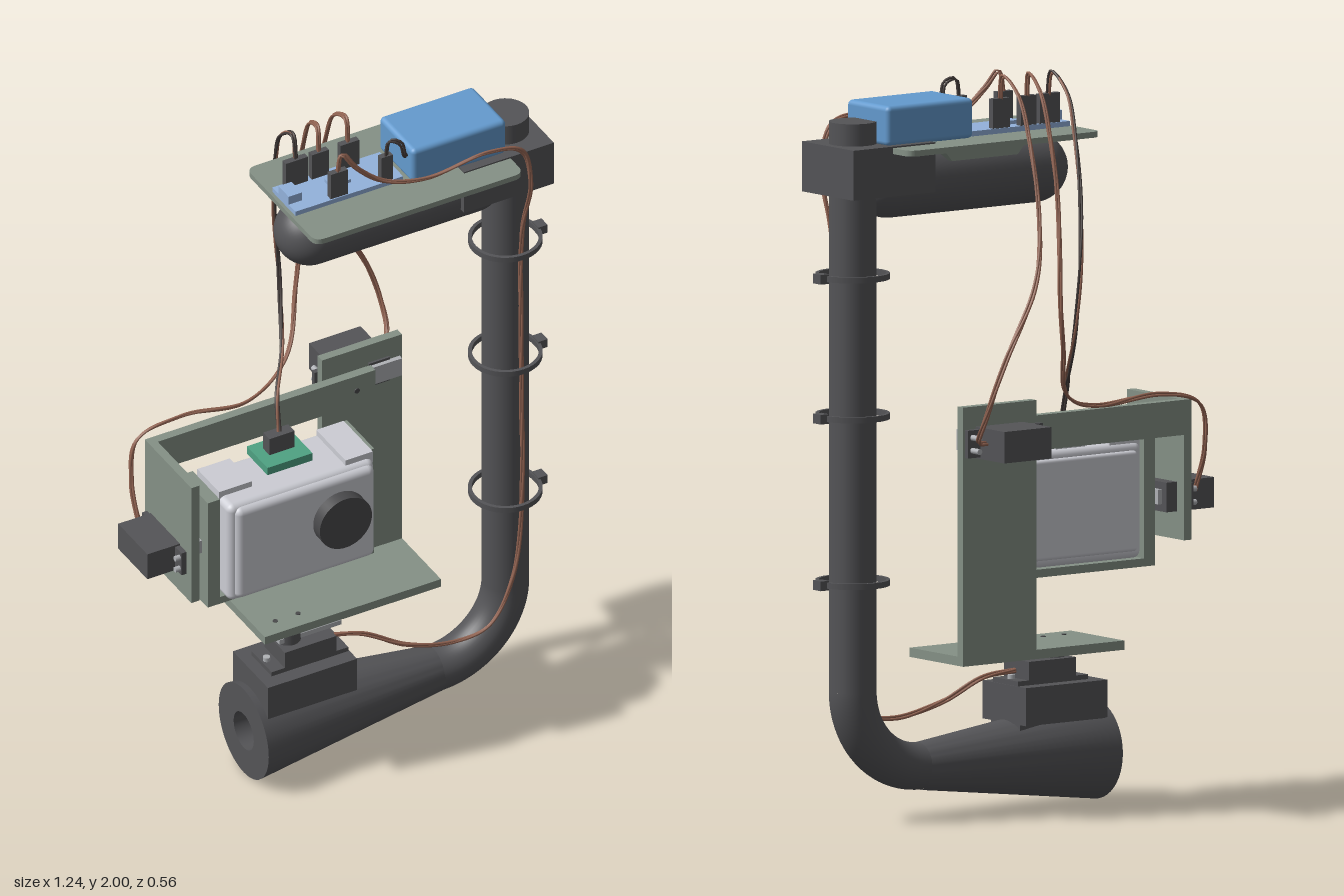
import * as THREE from 'three';
import { toCreasedNormals } from 'three/addons/utils/BufferGeometryUtils.js';
import { RoundedBoxGeometry } from 'three/addons/geometries/RoundedBoxGeometry.js';

const mat = (name, color) => Object.assign(new THREE.MeshStandardMaterial({ color }), { name });
const M = {
  dark: mat('charcoal plastic', 0x545457),
  lens: mat('lens grey', 0x49494b),
  green: mat('grey green plate', 0x859186),
  white: mat('pale grey', 0xcccdd4),
  metal: mat('steel grey', 0xb0b2b6),
  blue: mat('battery blue', 0x649bcf),
  sky: mat('board blue', 0x93b2dc),
  teal: mat('sensor green', 0x4fa283),
  brown: mat('wire brown', 0x946553),
  black: mat('wire black', 0x453d3b),
};

export function createModel() {
  const root = new THREE.Group();
  const add = (name, geo, m, x = 0, y = 0, z = 0) => {
    const mesh = new THREE.Mesh(geo, m);
    mesh.name = name;
    mesh.position.set(x, y, z);
    root.add(mesh);
    return mesh;
  };
  // Box from its extents, optionally with rounded edges
  const box = (name, m, x0, x1, y0, y1, z0, z1, r = 0) => add(name,
    r ? new RoundedBoxGeometry(x1 - x0, y1 - y0, z1 - z0, 3, r) : new THREE.BoxGeometry(x1 - x0, y1 - y0, z1 - z0),
    m, (x0 + x1) / 2, (y0 + y1) / 2, (z0 + z1) / 2);
  // Cylinder along a chosen axis
  const rod = (name, m, axis, r, len, x, y, z, seg = 32) => {
    const g = new THREE.CylinderGeometry(r, r, len, seg);
    if (axis === 'x') g.rotateZ(Math.PI / 2);
    if (axis === 'z') g.rotateX(Math.PI / 2);
    return add(name, g, m, x, y, z);
  };
  const Z = 0.095, PX = 0.497; // pole axis

  // Pole with a bend at the foot
  rod('pole', M.dark, 'y', 0.064, 1.54, PX, 1.13, Z, 40);
  class Arc extends THREE.Curve {
    getPoint(t, v = new THREE.Vector3()) {
      const a = -Math.PI / 2 + t * Math.PI / 2;
      return v.set(PX - 0.22 + 0.22 * Math.cos(a), 0.36 + 0.22 * Math.sin(a), Z);
    }
  }
  add('poleBend', new THREE.TubeGeometry(new Arc(), 24, 0.064, 40), M.dark);

  // Flared foot with a blind hole
  const flare = [[0, -0.2], [0.055, -0.2], [0.055, -0.305], [0.137, -0.305], [0.064, 0.279]];
  const foot = new THREE.LatheGeometry(flare.map(p => new THREE.Vector2(...p)), 48);
  foot.rotateZ(-Math.PI / 2);
  add('flaredFoot', toCreasedNormals(foot, 0.6), M.dark, 0, 0.139, Z);

  // Upper arm and clamp
  const arm = new THREE.CapsuleGeometry(0.095, 0.49, 12, 40);
  arm.rotateZ(Math.PI / 2);
  add('upperArm', arm, M.dark, 0.14, 1.725, Z);
  box('poleClamp', M.dark, 0.308, 0.583, 1.705, 1.84, -0.022, 0.207);

  // Cable ties with lock heads
  const band = [[0.09, -0.008], [0.1, -0.008], [0.1, 0.008], [0.09, 0.008], [0.09, -0.008]];
  for (const y of [0.655, 1.105, 1.483]) {
    const tie = new THREE.LatheGeometry(band.map(p => new THREE.Vector2(...p)), 40);
    add('cableTie', toCreasedNormals(tie, 0.6), M.dark, PX, y, Z);
    box('tieLock', M.dark, 0.589, 0.617, y - 0.013, y + 0.013, Z - 0.017, Z + 0.017);
  }

  // Rounded mounting plate and its saddle
  const s = new THREE.Shape(), w = 0.32, d = 0.19, r = 0.03;
  s.moveTo(-w + r, -d).lineTo(w - r, -d).quadraticCurveTo(w, -d, w, -d + r).lineTo(w, d - r)
    .quadraticCurveTo(w, d, w - r, d).lineTo(-w + r, d).quadraticCurveTo(-w, d, -w, d - r)
    .lineTo(-w, -d + r).quadraticCurveTo(-w, -d, -w + r, -d);
  const plate = new THREE.ExtrudeGeometry(s, { depth: 0.016, bevelEnabled: false });
  plate.rotateX(-Math.PI / 2);
  add('mountingPlate', plate, M.green, 0.13, 1.82, 0.092);
  const t = new THREE.Shape();
  t.moveTo(-0.02, 1.82).lineTo(0.015, 1.78).lineTo(0.235, 1.78).lineTo(0.27, 1.82);
  add('plateSaddle', new THREE.ExtrudeGeometry(t, { depth: 0.19, bevelEnabled: false }), M.green);

  // Controller board, connectors and battery
  box('controllerBoard', M.sky, -0.18, 0.15, 1.836, 1.85, 0.028, 0.155);
  box('boardSocket', M.sky, -0.18, -0.14, 1.85, 1.876, 0.062, 0.118);
  box('boardChip', M.sky, -0.045, 0.015, 1.85, 1.86, 0.072, 0.11);
  box('battery', M.blue, 0.163, 0.452, 1.836, 1.945, -0.002, 0.184, 0.014);
  for (const [x0, x1, z] of [[-0.15, -0.082, 0.04], [-0.07, -0.018, 0.04], [0.018, 0.075, 0.04], [-0.07, -0.018, 0.143], [0.085, 0.12, 0.143]])
    box('connector', M.dark, x0, x1, 1.85, 1.93, z - 0.009, z + 0.009);

  // Yaw servo on the foot
  box('yawServoMount', M.dark, -0.285, -0.012, 0.232, 0.335, 0, 0.192);
  box('yawMountCore', M.dark, -0.28, -0.015, 0.17, 0.235, 0.03, 0.16);
  box('yawServoFlange', M.dark, -0.25, -0.015, 0.335, 0.348, 0.04, 0.15);
  box('yawServo', M.dark, -0.21, -0.052, 0.335, 0.398, 0.04, 0.15);
  rod('yawShaft', M.dark, 'y', 0.035, 0.04, -0.17, 0.41, Z);
  box('yawHorn', M.metal, -0.21, -0.02, 0.406, 0.42, Z - 0.025, Z + 0.025);
  for (const x of [-0.235, -0.035]) rod('yawBolt', M.metal, 'y', 0.01, 0.012, x, 0.354, Z, 12);

  // Yaw bracket: shelf and post
  box('yawShelf', M.green, -0.26, 0.28, 0.43, 0.455, -0.108, 0.13);
  box('yawPost', M.green, 0.035, 0.28, 0.43, 1.13, -0.108, -0.083);
  for (const x of [-0.2, -0.13]) rod('shelfScrew', M.lens, 'y', 0.007, 0.002, x, 0.456, 0.08, 12);

  // Roll servo behind the post
  box('rollServo', M.dark, 0.08, 0.238, 0.99, 1.075, -0.235, -0.108);
  box('rollServoFlange', M.dark, 0.03, 0.28, 0.995, 1.07, -0.13, -0.115);
  for (const x of [0.053, 0.265]) for (const y of [1.015, 1.05])
    rod('rollBolt', M.metal, 'z', 0.008, 0.055, x, y, -0.135, 12);
  box('rollServoFace', M.dark, 0.175, 0.24, 0.997, 1.073, -0.084, -0.076);
  box('rollHorn', M.metal, 0.172, 0.27, 1.01, 1.066, -0.078, -0.064);
  rod('rollShaft', M.metal, 'z', 0.025, 0.05, 0.115, 1.032, -0.075);

  // Roll bracket: bar and side plate
  box('rollBar', M.green, -0.52, 0.172, 0.985, 1.08, -0.062, -0.036);
  box('rollSidePlate', M.green, -0.52, -0.495, 0.7, 1.08, -0.062, 0.192);
  rod('barScrew', M.lens, 'z', 0.008, 0.004, 0.115, 1.032, -0.035, 12);

  // Pitch servo
  box('pitchServo', M.dark, -0.62, -0.52, 0.775, 0.857, -0.03, 0.13);
  box('pitchServoFlange', M.dark, -0.535, -0.52, 0.78, 0.852, -0.05, 0.165);
  box('pitchServoNose', M.dark, -0.495, -0.46, 0.775, 0.855, -0.03, 0.13);
  rod('pitchShaft', M.dark, 'x', 0.03, 0.06, -0.465, 0.815, 0.08);
  box('pitchHorn', M.metal, -0.46, -0.447, 0.795, 0.835, -0.01, 0.12);
  for (const y of [0.797, 0.833]) for (const z of [-0.04, 0.155])
    rod('pitchBolt', M.metal, 'x', 0.008, 0.03, -0.535, y, z, 12);

  // Camera cradle
  box('cradleSide', M.green, -0.445, -0.408, 0.63, 0.975, 0, 0.148);
  box('cradleSide', M.green, 0.05, 0.065, 0.63, 0.975, 0, 0.148);
  box('cradleFloor', M.green, -0.408, 0.05, 0.63, 0.652, 0, 0.148);

  // Camera
  box('cameraBody', M.white, -0.402, 0.046, 0.654, 0.968, 0, 0.19, 0.02);
  box('cameraFace', M.white, -0.386, 0.04, 0.664, 0.96, 0.15, 0.204, 0.02);
  box('cameraBack', M.white, -0.38, 0.024, 0.675, 0.947, -0.012, 0.05, 0.01);
  box('cameraLatch', M.white, -0.4, -0.3, 0.95, 0.985, 0.01, 0.13);
  box('cameraLatch', M.white, -0.035, 0.049, 0.95, 0.985, 0.01, 0.17);
  rod('cameraLens', M.lens, 'z', 0.08, 0.06, -0.073, 0.835, 0.21, 48);

  // Motion sensor on the camera
  box('sensorBoard', M.teal, -0.245, -0.107, 0.978, 1.002, 0.005, 0.118);
  box('sensorFoot', M.white, -0.225, -0.127, 0.96, 0.978, 0.02, 0.1);
  box('sensorPlug', M.dark, -0.212, -0.135, 1.002, 1.055, 0.035, 0.07);

  // Wire bundles with a slow twist
  class Strand extends THREE.Curve {
    constructor(core, phase) { super(); Object.assign(this, { core, phase, turns: core.getLength() * 9 }); }
    getPoint(u, v = new THREE.Vector3()) {
      this.core.getPointAt(u, v);
      const a = this.phase + u * this.turns, k = 0.0036;
      return v.add(new THREE.Vector3(k * Math.cos(a), k * Math.sin(a + 0.8), k * Math.sin(a)));
    }
  }
  const wire = (name, pts, mats = [M.brown, M.brown, M.brown]) => {
    const core = new THREE.CatmullRomCurve3(pts.map(p => new THREE.Vector3(...p)));
    const n = Math.ceil(core.getLength() * 80);
    mats.forEach((m, i) => add(name, new THREE.TubeGeometry(new Strand(core, i * 2.1), n, 0.0037, 8), m));
  };
  wire('pitchWire', [[-0.045, 1.92, 0.04], [-0.037, 1.99, 0.02], [-0.015, 1.95, -0.06], [0.0, 1.85, -0.12], [0.02, 1.66, -0.185],
    [0.055, 1.45, -0.24], [0.03, 1.28, -0.22], [-0.05, 1.14, -0.13], [-0.2, 1.09, -0.068], [-0.4, 1.105, -0.078],
    [-0.53, 1.07, -0.085], [-0.555, 0.95, -0.075], [-0.555, 0.83, -0.03]]);
  wire('sensorWire', [[-0.115, 1.92, 0.04], [-0.11, 1.99, 0.015], [-0.105, 1.94, -0.06], [-0.09, 1.83, -0.115], [-0.06, 1.64, -0.18],
    [-0.035, 1.48, -0.21], [-0.035, 1.33, -0.19], [-0.08, 1.2, -0.1], [-0.155, 1.135, 0.01], [-0.172, 1.05, 0.05]],
    [M.black, M.black, M.brown]);
  wire('rollWire', [[0.045, 1.92, 0.04], [0.05, 1.99, 0.02], [0.06, 1.95, -0.06], [0.07, 1.85, -0.12], [0.1, 1.6, -0.21],
    [0.15, 1.45, -0.25], [0.26, 1.28, -0.275], [0.31, 1.13, -0.255], [0.298, 1.05, -0.2], [0.24, 1.035, -0.16]]);
  wire('yawWire', [[-0.045, 1.92, 0.143], [-0.035, 1.985, 0.15], [0.0, 1.94, 0.165], [0.08, 1.875, 0.18], [0.2, 1.86, 0.205], [0.37, 1.895, 0.225],
    [0.47, 1.87, 0.23], [0.5, 1.75, 0.228], [0.503, 1.55, 0.175], [0.503, 1.1, 0.172], [0.5, 0.65, 0.178],
    [0.475, 0.42, 0.175], [0.4, 0.285, 0.175], [0.3, 0.263, 0.165], [0.16, 0.295, 0.15], [0.04, 0.355, 0.12], [-0.055, 0.37, 0.1]]);
  wire('batteryWire', [[0.102, 1.92, 0.143], [0.112, 1.975, 0.147], [0.14, 1.965, 0.158], [0.155, 1.92, 0.155], [0.175, 1.9, 0.14]],
    [M.black, M.black]);

  return root;
}
